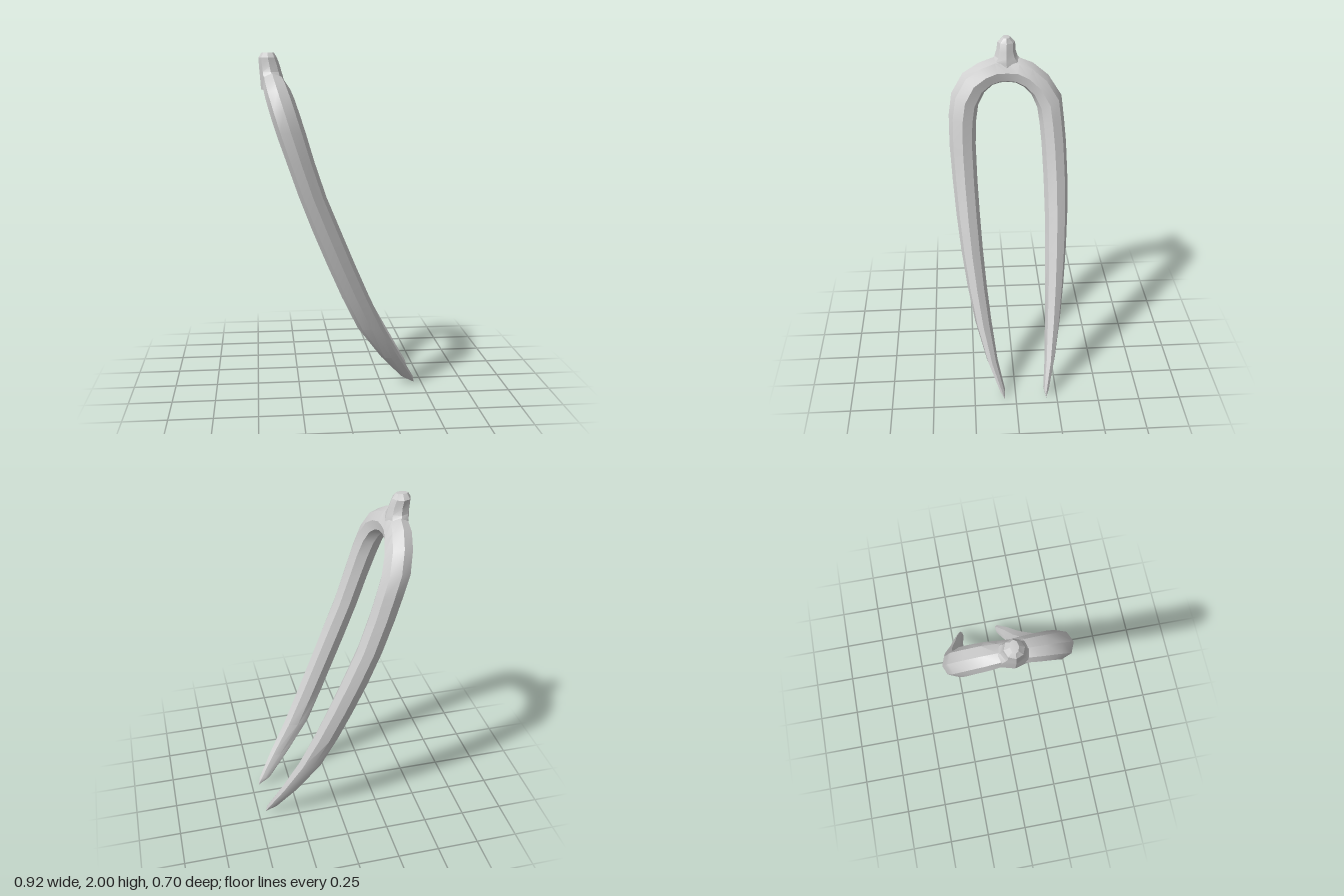
import * as THREE from 'three';
import { toCreasedNormals } from 'three/addons/utils/BufferGeometryUtils.js';

const SIDES = 8;

// Skins a list of equal rings of points, each counter-clockwise about the path
function loft(rings, crease) {
  const pos = [], index = [];
  const n = rings[0].length;
  rings.forEach(ring => ring.forEach(p => pos.push(...p)));
  for (let i = 0; i < rings.length - 1; i++) {
    for (let j = 0; j < n; j++) {
      const a = i * n + j, b = i * n + (j + 1) % n, c = b + n, d = a + n;
      index.push(a, b, c, a, c, d);
    }
  }
  const geo = new THREE.BufferGeometry();
  geo.setAttribute('position', new THREE.Float32BufferAttribute(pos, 3));
  geo.setIndex(index);
  return toCreasedNormals(geo, crease);
}

// Lean of the bone: centre x for a height y
const LEAN = [[0, 0.46], [0.05, 0.41], [0.2, 0.3], [0.4, 0.17], [0.6, 0.075], [0.8, -0.012], [1, -0.095],
  [1.2, -0.175], [1.4, -0.243], [1.6, -0.307], [1.8, -0.367], [1.9, -0.395], [2, -0.41]];
function leanX(y) {
  let i = 0;
  while (i < LEAN.length - 2 && y > LEAN[i + 1][0]) i++;
  const [y0, x0] = LEAN[i], [y1, x1] = LEAN[i + 1];
  return x0 + (x1 - x0) * (y - y0) / (y1 - y0);
}

// Fork sections, front tip to back tip: outer z, outer y, inner z, inner y, half thickness in x
const FORK = [
  [0.068, 0.005, 0.068, 0.005, 0],
  [0.1, 0.05, 0.065, 0.05, 0.035],
  [0.17, 0.2, 0.105, 0.2, 0.06],
  [0.235, 0.4, 0.135, 0.4, 0.078],
  [0.275, 0.6, 0.157, 0.6, 0.08],
  [0.305, 0.8, 0.174, 0.8, 0.08],
  [0.327, 1, 0.186, 1, 0.08],
  [0.343, 1.2, 0.195, 1.2, 0.077],
  [0.355, 1.4, 0.199, 1.4, 0.078],
  [0.354, 1.57, 0.193, 1.53, 0.082],
  [0.335, 1.69, 0.178, 1.62, 0.082],
  [0.265, 1.8, 0.14, 1.69, 0.08],
  [0.17, 1.855, 0.09, 1.73, 0.076],
  [0.08, 1.885, 0.045, 1.743, 0.07],
  [0, 1.88, 0, 1.745, 0.065],
  [-0.07, 1.88, -0.045, 1.74, 0.07],
  [-0.15, 1.85, -0.095, 1.715, 0.077],
  [-0.24, 1.78, -0.14, 1.67, 0.08],
  [-0.317, 1.665, -0.172, 1.6, 0.082],
  [-0.332, 1.53, -0.185, 1.51, 0.08],
  [-0.343, 1.4, -0.195, 1.4, 0.078],
  [-0.35, 1.2, -0.205, 1.2, 0.077],
  [-0.347, 1, -0.209, 1, 0.08],
  [-0.335, 0.8, -0.207, 0.8, 0.08],
  [-0.316, 0.6, -0.203, 0.6, 0.08],
  [-0.29, 0.4, -0.196, 0.4, 0.078],
  [-0.25, 0.2, -0.186, 0.2, 0.06],
  [-0.207, 0.05, -0.17, 0.05, 0.035],
  [-0.185, 0.005, -0.185, 0.005, 0],
];

function forkRing([zo, yo, zi, yi, hx]) {
  return Array.from({ length: SIDES }, (_, j) => {
    const a = j / SIDES * Math.PI * 2;
    const t = (1 + Math.cos(a)) / 2;
    const y = yi + (yo - yi) * t;
    return [leanX(y) + hx * Math.sin(a), y, zi + (zo - zi) * t];
  });
}

// Knob sections from the arch up: y, centre x, half x, centre z, half z
const KNOB = [
  [1.79, -0.385, 0.068, 0.005, 0.1],
  [1.865, -0.392, 0.066, 0.008, 0.09],
  [1.89, -0.397, 0.063, 0.008, 0.068],
  [1.925, -0.403, 0.06, 0.008, 0.056],
  [1.97, -0.412, 0.053, 0.005, 0.052],
  [1.998, -0.412, 0.036, 0.005, 0.022],
  [2, -0.412, 0, 0.005, 0],
];

function knobRing([y, cx, hx, cz, hz]) {
  return Array.from({ length: SIDES }, (_, j) => {
    const a = j / SIDES * Math.PI * 2;
    return [cx + hx * Math.sin(a), y, cz + hz * Math.cos(a)];
  });
}

export function createModel() {
  const bone = new THREE.MeshStandardMaterial({ color: 0xcccccc });
  bone.name = 'bone grey';
  const group = new THREE.Group();
  group.name = 'wishbone';

  // Two curved prongs joined by the arch
  const fork = new THREE.Mesh(loft(FORK.map(forkRing), 0.6), bone);
  fork.name = 'fork';

  // Stub on top of the arch
  const knob = new THREE.Mesh(loft(KNOB.map(knobRing), 0.3), bone);
  knob.name = 'knob';

  group.add(fork, knob);
  return group;
}
